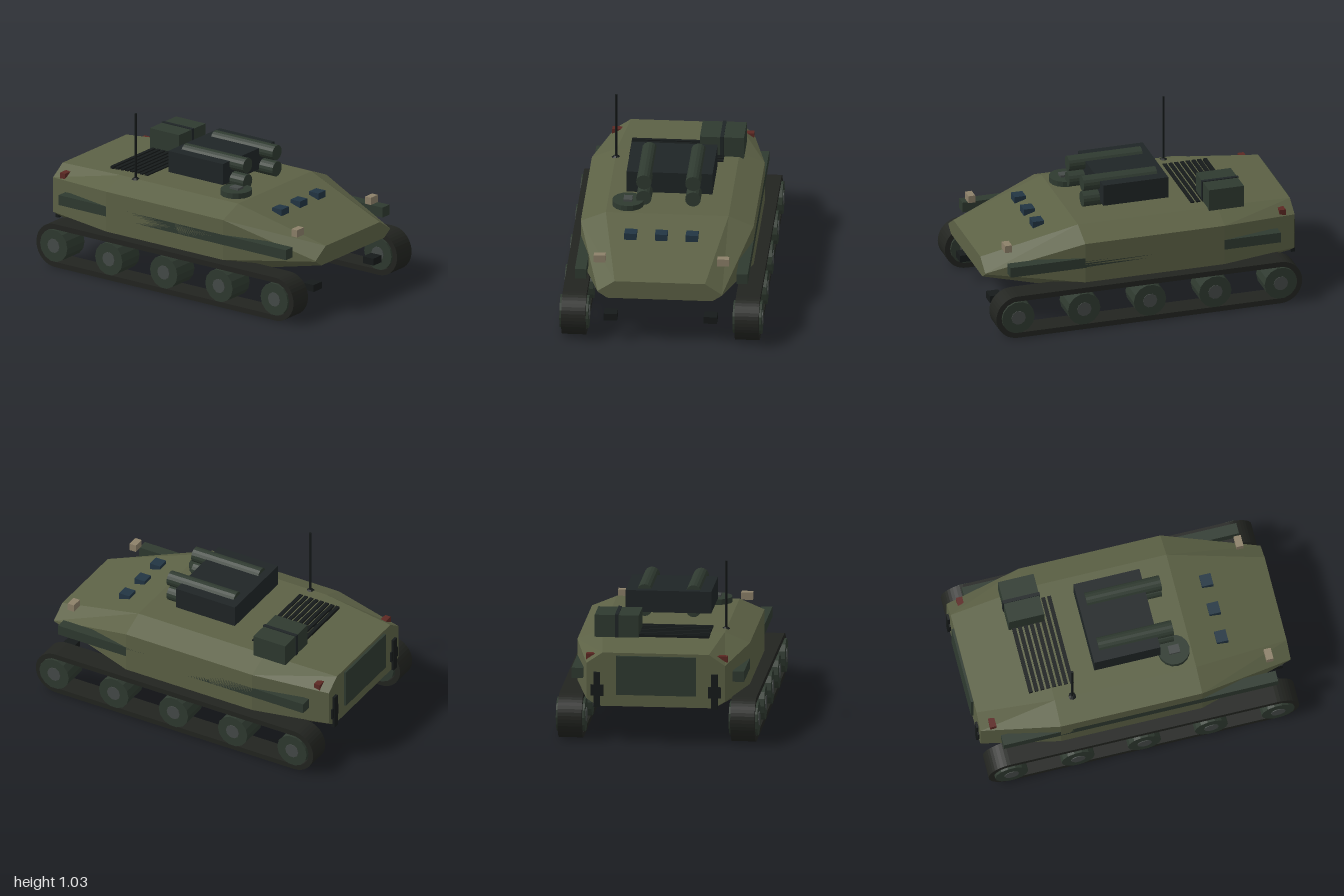
import * as THREE from 'three';

const mat = (color) => new THREE.MeshStandardMaterial({ color, flatShading: true });

export function createModel() {
  const model = new THREE.Group();
  model.name = 'trackedCarrier';
  const olive = mat(0x5c6145), green = mat(0x2f3a30), steel = mat(0x1f2526);
  const rubber = mat(0x222420), black = mat(0x161a1a), hubGrey = mat(0x454a48);
  const glass = mat(0x223543), lamp = mat(0x8c8069), red = mat(0x5c2823);

  const add = (name, geometry, material, x = 0, y = 0, z = 0) => {
    const mesh = new THREE.Mesh(geometry, material);
    mesh.name = name;
    mesh.position.set(x, y, z);
    model.add(mesh);
    return mesh;
  };
  // Box given by its limits on each axis
  const box = (name, material, x0, x1, y0, y1, z0, z1) =>
    add(name, new THREE.BoxGeometry(x1 - x0, y1 - y0, z1 - z0), material,
      (x0 + x1) / 2, (y0 + y1) / 2, (z0 + z1) / 2);
  const cylX = (r, l, n) => new THREE.CylinderGeometry(r, r, l, n).rotateZ(Math.PI / 2);
  const cylZ = (r, l, n) => new THREE.CylinderGeometry(r, r, l, n).rotateX(Math.PI / 2);

  // Hull: faceted sections from nose to tail, each as z and four (half width, height) pairs
  const sections = [
    [1, [0.28, 0.425], [0.385, 0.355], [0.385, 0.35], [0.325, 0.31]],
    [0.4, [0.38, 0.605], [0.535, 0.54], [0.535, 0.28], [0.45, 0.2]],
    [-0.5, [0.38, 0.605], [0.535, 0.54], [0.535, 0.28], [0.45, 0.2]],
    [-0.985, [0.33, 0.573], [0.43, 0.505], [0.43, 0.28], [0.36, 0.235]],
  ];
  const rings = sections.map(([z, t, m, l, b]) => [
    [t[0], t[1], z], [-t[0], t[1], z], [-m[0], m[1], z], [-l[0], l[1], z],
    [-b[0], b[1], z], [b[0], b[1], z], [l[0], l[1], z], [m[0], m[1], z],
  ]);
  const pos = [];
  const tri = (...corners) => corners.forEach((c) => pos.push(...c));
  for (let s = 0; s < rings.length - 1; s++) {
    const A = rings[s], B = rings[s + 1];
    for (let i = 0; i < 8; i++) {
      const j = (i + 1) % 8;
      tri(A[i], B[i], B[j]);
      tri(A[i], B[j], A[j]);
    }
  }
  const nose = rings[0], tail = rings[rings.length - 1];
  for (let i = 1; i < 7; i++) {
    tri(nose[0], nose[i], nose[i + 1]);
    tri(tail[0], tail[i + 1], tail[i]);
  }
  const hull = new THREE.BufferGeometry();
  hull.setAttribute('position', new THREE.Float32BufferAttribute(pos, 3));
  hull.computeVertexNormals();
  add('hull', hull, olive);

  // Track loop: stadium outline with a stadium hole
  const stadium = (path, r) => {
    path.absarc(0.848, 0.14, r, -Math.PI / 2, Math.PI / 2, false);
    path.absarc(-0.848, 0.14, r, Math.PI / 2, Math.PI * 1.5, false);
    path.closePath();
    return path;
  };
  const loop = stadium(new THREE.Shape(), 0.14);
  loop.holes.push(stadium(new THREE.Path(), 0.106));
  const track = new THREE.ExtrudeGeometry(loop, { depth: 0.15, bevelEnabled: false, curveSegments: 10 })
    .translate(0, 0, -0.075).rotateY(-Math.PI / 2);

  // Running gear and fittings on both sides
  for (const s of [1, -1]) {
    const side = s > 0 ? 'left' : 'right';
    add(side + 'Track', track, rubber, s * 0.536, 0, 0.01);
    for (const z of [0.86, 0.435, 0.01, -0.412, -0.835]) {
      add(side + 'RoadWheel', cylX(0.105, 0.178, 14), green, s * 0.536, 0.143, z);
      add(side + 'WheelHub', cylX(0.046, 0.186, 10), hubGrey, s * 0.536, 0.143, z);
    }
    const pair = (name, material, cx, w, ...limits) =>
      box(side + name, material, s * cx - w / 2, s * cx + w / 2, ...limits);
    pair('SideSkirt', green, 0.5, 0.07, 0.378, 0.443, -0.863, 0.883);
    pair('Headlight', lamp, 0.382, 0.073, 0.493, 0.54, 0.838, 0.882);
    pair('TailLight', red, 0.404, 0.07, 0.512, 0.55, -0.925, -0.885);
    pair('TowHook', black, 0.309, 0.083, 0.135, 0.18, 0.88, 0.96);
    pair('RearBracket', black, 0.365, 0.04, 0.23, 0.45, -1, -0.975);
    pair('RearBracketPlate', black, 0.365, 0.08, 0.3, 0.37, -0.995, -0.975);
    // Launch tubes, two stacked on each side
    for (const y of [0.77, 0.664])
      add(side + 'LaunchTube', cylZ(0.048, 0.475, 16), green, s * 0.152, y, 0.067);
  }

  // Launcher body and rear door
  box('launcherBody', steel, -0.267, 0.265, 0.653, 0.79, -0.22, 0.2);
  box('rearDoor', green, -0.25, 0.245, 0.31, 0.555, -1, -0.97);

  // Commander hatch with its periscope
  add('hatch', new THREE.CylinderGeometry(0.098, 0.098, 0.035, 16), green, -0.25, 0.627, 0.29);
  box('hatchPeriscope', hubGrey, -0.277, -0.223, 0.643, 0.658, 0.257, 0.325);

  // Vision blocks on the glacis
  for (const x of [-0.21, -0.02, 0.17])
    box('visionBlock', glass, x - 0.038, x + 0.038, 0.535, 0.577, 0.565, 0.637);

  // Engine grille slats
  for (let i = 0; i < 8; i++) {
    const z = -0.63 + i * 0.0372;
    box('grilleSlat', black, -0.296, 0.29, 0.595, 0.613, z - 0.012, z + 0.012);
  }

  // Stowage box with strap
  box('stowageBox', green, 0.138, 0.411, 0.595, 0.735, -0.663, -0.437);
  box('stowageStrap', steel, 0.264, 0.286, 0.595, 0.74, -0.668, -0.432);

  // Antenna
  add('antennaBase', new THREE.CylinderGeometry(0.012, 0.028, 0.012, 8), black, -0.376, 0.607, -0.388);
  add('antenna', new THREE.CylinderGeometry(0.008, 0.008, 0.43, 6), black, -0.376, 0.815, -0.388);

  return model;
}
